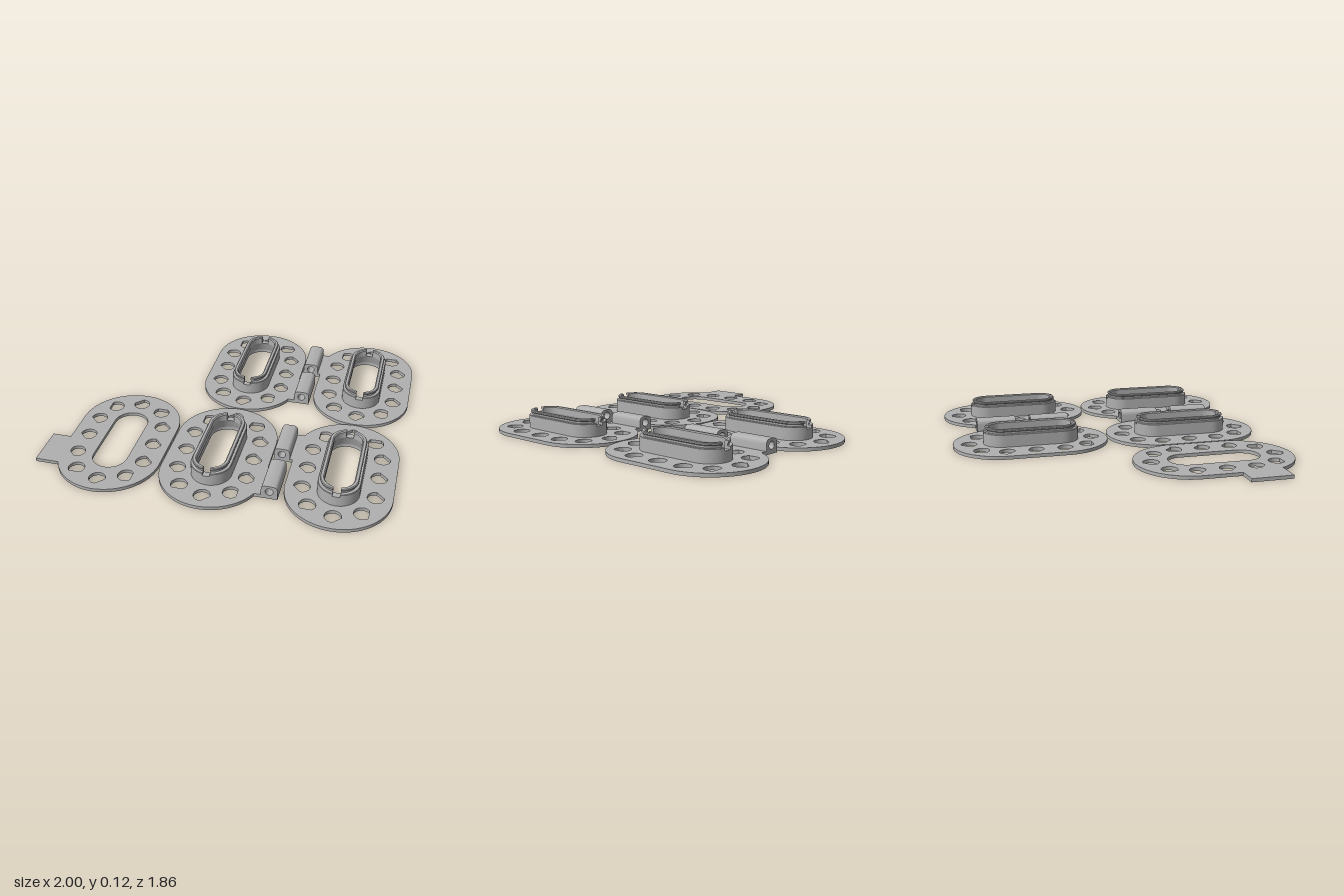
import * as THREE from 'three';
import { toCreasedNormals } from 'three/addons/utils/BufferGeometryUtils.js';

const STRAIGHT = 0.17;   // half length of the straight sides
const T = 0.02;          // plate thickness
const BARREL = 0.242;    // hinge barrel length

// Outline of an oval with two straight sides
function stadium(path, r) {
  path.moveTo(r, -STRAIGHT);
  path.lineTo(r, STRAIGHT);
  path.absarc(0, STRAIGHT, r, 0, Math.PI, false);
  path.lineTo(-r, -STRAIGHT);
  path.absarc(0, -STRAIGHT, r, Math.PI, Math.PI * 2, false);
  return path;
}

// Round hole with one drawn-out corner in direction dir
function teardrop(x, y, dir) {
  const r = 0.046, tip = 0.062, spread = Math.acos(r / tip);
  const p = new THREE.Path();
  p.moveTo(x + tip * Math.cos(dir), y + tip * Math.sin(dir));
  p.absarc(x, y, r, dir + spread, dir + Math.PI * 2 - spread, false);
  p.closePath();
  return p;
}

function plateGeometry() {
  const shape = stadium(new THREE.Shape(), 0.2935);
  shape.holes.push(stadium(new THREE.Path(), 0.1));
  const R = 0.2;
  for (const side of [1, -1]) {
    // three holes around each rounded end
    for (const a of [45, 90, 135]) {
      const t = a * Math.PI / 180 * side;
      const x = R * 1.03 * Math.cos(t), y = side * STRAIGHT + R * Math.sin(t);
      shape.holes.push(teardrop(x, y, t + 0.8));
    }
    // three holes along each straight side
    for (const k of [-1, 0, 1]) {
      shape.holes.push(teardrop(side * R, k * STRAIGHT, (side > 0 ? 0 : Math.PI) + 0.8));
    }
  }
  const g = new THREE.ExtrudeGeometry(shape, { depth: T, bevelEnabled: false, curveSegments: 24 });
  g.rotateX(-Math.PI / 2);
  return toCreasedNormals(g, 0.6);
}

// Sweep a closed (radius, height) profile along half of the oval, leaving a slot at each end
function halfRing(profile, slot) {
  const N = 14, pos = [];
  const point = ([r, y], i) => {
    const lim = Math.PI / 2 - Math.asin(slot / r);
    const front = i > N;
    const a = front ? lim * (i - N - 1) / N : -lim * (1 - i / N);
    return [r * Math.cos(a), y, (front ? STRAIGHT : -STRAIGHT) + r * Math.sin(a)];
  };
  const last = 2 * N + 1;
  for (let i = 0; i < last; i++) {
    profile.forEach((p, j) => {
      const q = profile[(j + 1) % profile.length];
      const a = point(p, i), b = point(q, i), c = point(p, i + 1), d = point(q, i + 1);
      pos.push(...a, ...b, ...c, ...b, ...d, ...c);
    });
  }
  if (slot > 0) {
    const contour = profile.map(([r, y]) => new THREE.Vector2(r, y));
    for (const [a, b, c] of THREE.ShapeUtils.triangulateShape(contour, [])) {
      pos.push(...point(profile[a], last), ...point(profile[b], last), ...point(profile[c], last));
      pos.push(...point(profile[a], 0), ...point(profile[c], 0), ...point(profile[b], 0));
    }
  }
  const g = new THREE.BufferGeometry();
  g.setAttribute('position', new THREE.Float32BufferAttribute(pos, 3));
  return toCreasedNormals(g, 0.5);
}

// Hinge knuckle with a pin hole, running along z
function barrelGeometry() {
  const s = new THREE.Shape();
  s.moveTo(-0.046, 0);
  s.lineTo(0.046, 0);
  s.lineTo(0.046, 0.055);
  s.quadraticCurveTo(0.044, 0.08, 0.022, 0.083);
  s.lineTo(-0.022, 0.083);
  s.quadraticCurveTo(-0.044, 0.08, -0.046, 0.055);
  s.closePath();
  const hole = new THREE.Path();
  hole.absarc(0, 0.046, 0.022, 0, Math.PI * 2, true);
  s.holes.push(hole);
  const g = new THREE.ExtrudeGeometry(s, { depth: BARREL, bevelEnabled: false, curveSegments: 12 });
  g.translate(0, 0, -BARREL / 2);
  return toCreasedNormals(g, 0.6);
}

export function createModel() {
  const model = new THREE.Group();
  model.name = 'hingedPlateSet';
  const grey = new THREE.MeshStandardMaterial({ color: 0xb0b0b0 });
  grey.name = 'grey';

  const plate = plateGeometry();
  const barrel = barrelGeometry();
  const hubBase = halfRing([[0.1, T], [0.115, T], [0.115, 0.08], [0.08, 0.08]], 0);
  const hubRim = halfRing([
    [0.08, 0.08], [0.115, 0.08], [0.115, 0.093], [0.112, 0.096], [0.096, 0.096],
    [0.096, 0.106], [0.104, 0.112], [0.104, 0.119], [0.1, 0.123], [0.086, 0.123], [0.08, 0.117],
  ], 0.021);

  const add = (parent, name, geometry, x = 0, y = 0, z = 0) => {
    const m = new THREE.Mesh(geometry, grey);
    m.name = name;
    m.position.set(x, y, z);
    parent.add(m);
    return m;
  };

  const addPlate = (name, x, z, withHub) => {
    const g = new THREE.Group();
    g.name = name;
    g.position.set(x, 0, z);
    add(g, 'perforatedPlate', plate);
    if (withHub) {
      for (const turn of [0, Math.PI]) {
        add(g, 'hubWall', hubBase).rotation.y = turn;
        add(g, 'slottedRim', hubRim).rotation.y = turn;
      }
    }
    model.add(g);
    return g;
  };

  // Flat tab from x0 to x1 centred on z
  const addTab = (parent, x0, x1, z) =>
    add(parent, 'tab', new THREE.BoxGeometry(x1 - x0, T, BARREL), (x0 + x1) / 2, T / 2, z);

  // Two hinged pairs
  for (const [row, z] of [['back', -0.468], ['front', 0.468]]) {
    const right = addPlate(row + 'InnerPlate', 0, z, true);
    addTab(right, 0.24, 0.32, 0.17);
    add(right, 'hingeBarrel', barrel, 0.351, 0, 0.17);

    const left = addPlate(row + 'OuterPlate', 0.7065, z, true);
    addTab(left, -0.33, -0.24, -0.167);
    add(left, 'hingeBarrel', barrel, -0.3555, 0, -0.167);
  }

  // Flat backing plate with its tab
  const backing = addPlate('backingPlate', -0.598, 0.468, false);
  addTab(backing, -0.402, -0.24, 0.17);

  return model;
}
